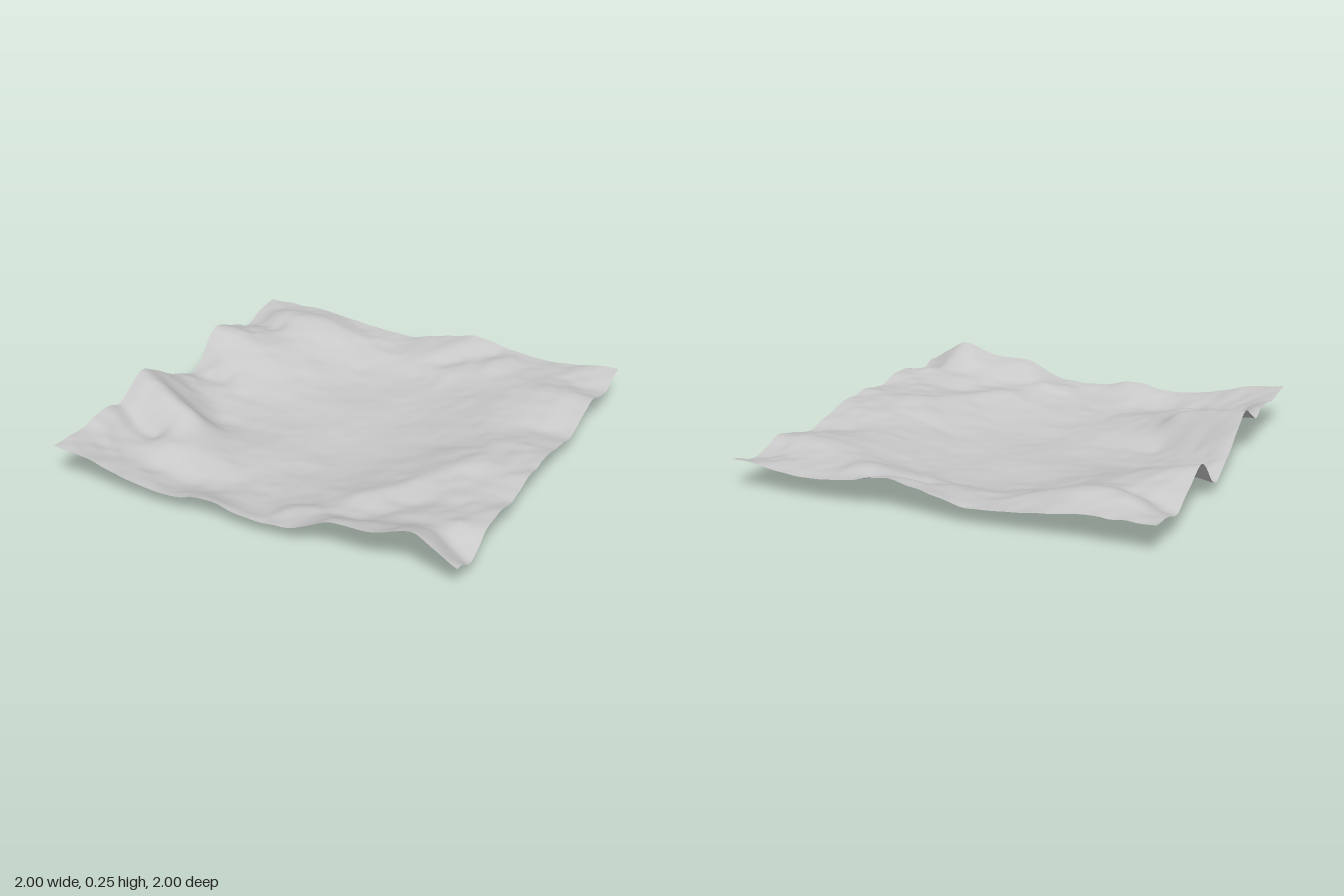
import * as THREE from 'three';

// Cross-sections from back (z = -1) to front (z = 1), heights in hundredths, x from -1 to 1
const SECTIONS = [
  [14, 14, 13, 10, 9, 12, 17, 14, 12, 13, 15],
  [12, 18, 18, 13, 9, 10, 12, 14, 13, 13, 10],
  [15, 16, 13, 8, 5, 4, 6, 9, 13, 16, 15],
  [21, 16, 11, 6, 3, 3, 4, 7, 11, 12, 10],
  [7, 9, 6, 4, 3, 3, 3, 6, 10, 11, 11],
  [11, 6, 3, 2, 2, 2, 3, 5, 10, 13, 14],
  [20, 11, 3, 2, 2, 1, 2, 6, 11, 13, 14],
  [19, 16, 10, 5, 3, 2, 3, 7, 10, 12, 12],
  [19, 11, 12, 7, 3, 3, 5, 9, 10, 12, 14],
  [17, 11, 7, 4, 4, 4, 7, 9, 12, 14, 8],
  [18, 15, 10, 8, 11, 7, 8, 16, 17, 22, 11],
];

// Ridges and gullies along short lines: x and z of both ends, width, height
const RIDGES = [
  [-1.05, 0.27, -0.65, 0.4, 0.09, 0.055],
  [-1.05, 0.48, -0.75, 0.56, 0.06, -0.03],
  [-1.05, -0.14, -0.8, -0.14, 0.06, -0.02],
  [-1.05, -0.74, -0.8, -0.68, 0.07, -0.03],
  [0.38, 0.62, 0.72, 0.18, 0.07, 0.015],
  [0.45, 0.8, 0.62, 0.58, 0.07, -0.012],
  [0.15, -0.8, 0.36, -0.9, 0.06, -0.025],
  [0.82, -0.3, 1.05, -0.3, 0.07, -0.015],
  [0.9, 0.72, 1.05, 0.7, 0.06, 0.025],
  [0.92, 0.86, 1.05, 0.88, 0.06, -0.02],
  [0.14, 0.86, 0.24, 0.82, 0.07, 0.015],
];

// Smooth curve through evenly spaced values, t in -1..1
function curve(values, t) {
  const last = values.length - 1;
  const u = THREE.MathUtils.clamp((t + 1) / 2, 0, 1) * last;
  const i = Math.min(Math.floor(u), last - 1), f = u - i;
  const at = (k) => values[THREE.MathUtils.clamp(k, 0, last)];
  const a = at(i - 1), b = at(i), c = at(i + 1), d = at(i + 2);
  return b + 0.5 * f * (c - a + f * (2 * a - 5 * b + 4 * c - d + f * (3 * (b - c) + d - a)));
}

// Rounded bump around a line segment
function ridge([x1, z1, x2, z2, width, rise], x, z) {
  const dx = x2 - x1, dz = z2 - z1;
  const t = THREE.MathUtils.clamp(((x - x1) * dx + (z - z1) * dz) / (dx * dx + dz * dz), 0, 1);
  const away = Math.hypot(x - x1 - t * dx, z - z1 - t * dz) / width;
  return rise * Math.exp(-away * away);
}

// Seeded value noise for the fine folds
function hash(i, j) {
  const s = Math.sin(i * 127.1 + j * 311.7) * 43758.5453;
  return (s - Math.floor(s)) * 2 - 1;
}

function noise(x, z) {
  const i = Math.floor(x), j = Math.floor(z);
  const fx = THREE.MathUtils.smootherstep(x - i, 0, 1);
  const fz = THREE.MathUtils.smootherstep(z - j, 0, 1);
  const { lerp } = THREE.MathUtils;
  return lerp(
    lerp(hash(i, j), hash(i + 1, j), fx),
    lerp(hash(i, j + 1), hash(i + 1, j + 1), fx), fz);
}

// Broad hills, then ridges, then folds that fade out on the basin floor
function height(x, z) {
  const hills = curve(SECTIONS.map((row) => curve(row, x)), z) / 100;
  const ridges = RIDGES.reduce((sum, r) => sum + ridge(r, x, z), 0);
  const rim = THREE.MathUtils.smoothstep(Math.max(Math.abs(x), Math.abs(z)), 0.2, 0.9);
  const folds = noise(x * 7 + 3, z * 9 + 5) * 0.6 + noise(x * 15, z * 17) * 0.4;
  return hills + ridges + folds * (0.004 + 0.006 * rim);
}

export function createModel() {
  const group = new THREE.Group();
  group.name = 'terrain';

  const stone = new THREE.MeshStandardMaterial({ color: 0xc8c8c8, side: THREE.DoubleSide });
  stone.name = 'pale grey stone';

  // Square sheet of ground
  const geometry = new THREE.PlaneGeometry(2, 2, 120, 120).rotateX(-Math.PI / 2);
  const p = geometry.attributes.position;
  for (let i = 0; i < p.count; i++) p.setY(i, height(p.getX(i), p.getZ(i)));

  // Rest the lowest point on y = 0
  geometry.computeBoundingBox();
  geometry.translate(0, -geometry.boundingBox.min.y, 0);
  geometry.computeVertexNormals();

  const ground = new THREE.Mesh(geometry, stone);
  ground.name = 'hillyGround';
  group.add(ground);
  return group;
}
